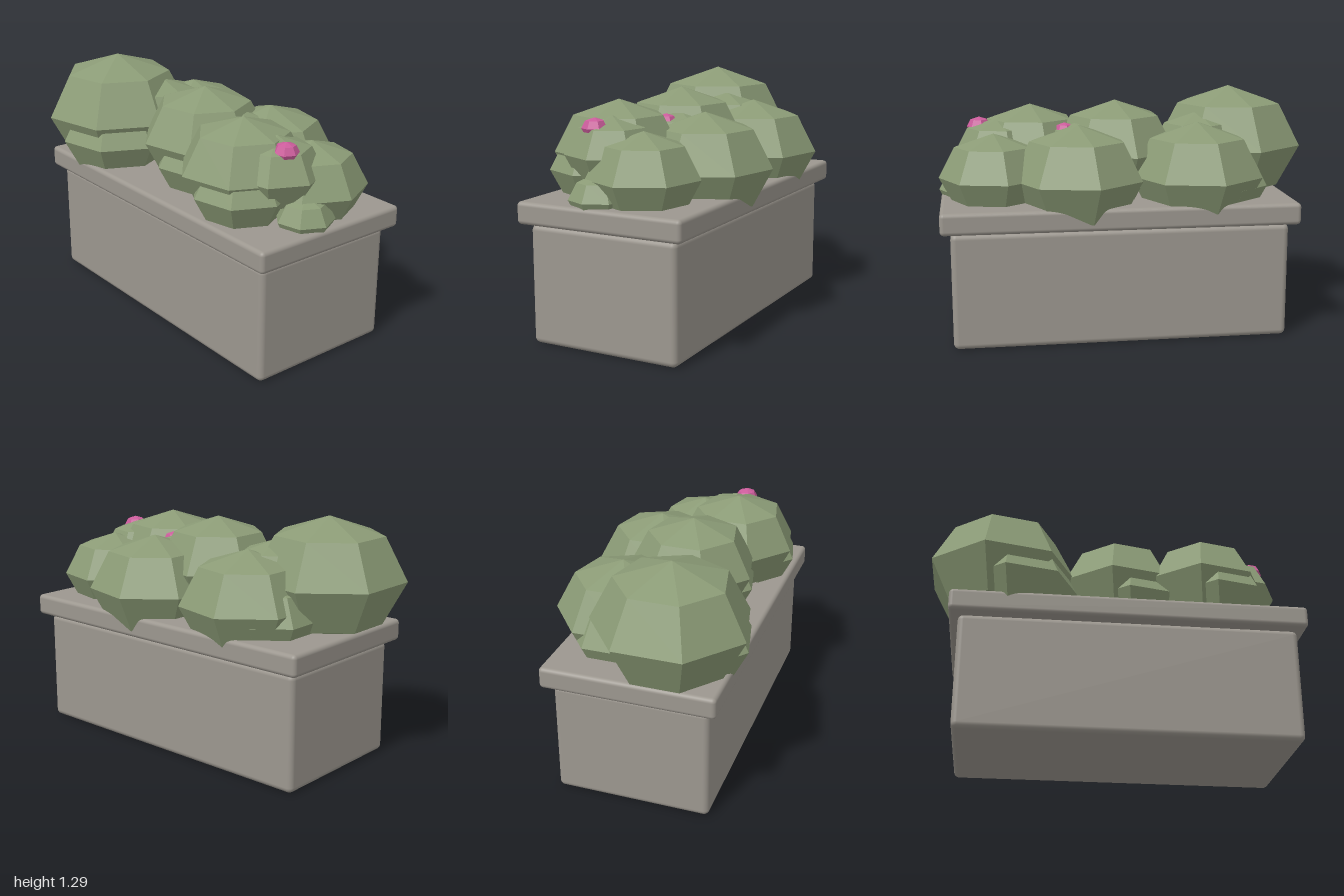
import * as THREE from 'three';
import { RoundedBoxGeometry } from 'three/addons/geometries/RoundedBoxGeometry.js';

function material(name, color) {
  const m = new THREE.MeshStandardMaterial({ color });
  m.name = name;
  return m;
}

export function createModel() {
  const model = new THREE.Group();
  model.name = 'planterBox';
  const stone = material('stone grey', 0x9c978f);
  const leaf = material('leaf green', 0x8b9b76);
  const petal = material('petal pink', 0xcb5c9b);

  // Faceted clump: seven sides, four tiers, slightly squashed
  const clumpGeo = new THREE.SphereGeometry(1, 7, 4).rotateY(Math.PI).toNonIndexed();
  clumpGeo.computeVertexNormals();

  function slab(name, w, h, d, radius, x, y, z) {
    const mesh = new THREE.Mesh(new RoundedBoxGeometry(w, h, d, 4, radius), stone);
    mesh.name = name;
    mesh.position.set(x, y, z);
    model.add(mesh);
  }
  function clump(name, mat, x, y, z, r) {
    const mesh = new THREE.Mesh(clumpGeo, mat);
    mesh.name = name;
    mesh.position.set(x, y, z);
    mesh.scale.set(r, r * 0.79, r);
    model.add(mesh);
  }

  // Stone trough and its overhanging rim
  slab('trough', 1.77, 0.614, 0.82, 0.03, 0.045, 0.307, 0.008);
  slab('rim', 1.87, 0.115, 0.918, 0.022, 0.045, 0.677, 0.005);

  // Foliage: x, y, z, radius
  const groups = {
    frontBush: [
      [-0.63, 0.97, 0.16, 0.41],
      [0.03, 0.963, 0.05, 0.345],
      [0.485, 0.945, 0.168, 0.332],
    ],
    backBush: [
      [-0.38, 0.855, -0.19, 0.358],
      [0.26, 0.855, -0.21, 0.358],
      [0.695, 0.855, -0.10, 0.29],
    ],
    lowBush: [
      [-0.54, 0.855, 0.23, 0.32],
      [0.11, 0.855, 0.11, 0.27],
      [0.56, 0.855, 0.235, 0.26],
      [0.84, 0.76, 0.07, 0.15],
    ],
    fillBush: [
      [-0.42, 0.965, 0.0, 0.26],
      [0.2, 0.95, -0.02, 0.24],
      [0.66, 0.955, 0.1, 0.24],
      [-0.52, 0.8, -0.17, 0.25],
      [0.12, 0.8, -0.15, 0.21],
    ],
  };
  for (const [name, list] of Object.entries(groups)) {
    list.forEach((c, i) => clump(name + (i + 1), leaf, ...c));
  }

  // Blossoms
  clump('blossom1', petal, 0.765, 1.093, 0.135, 0.066);
  clump('blossom2', petal, 0.31, 1.078, -0.01, 0.058);

  return model;
}
